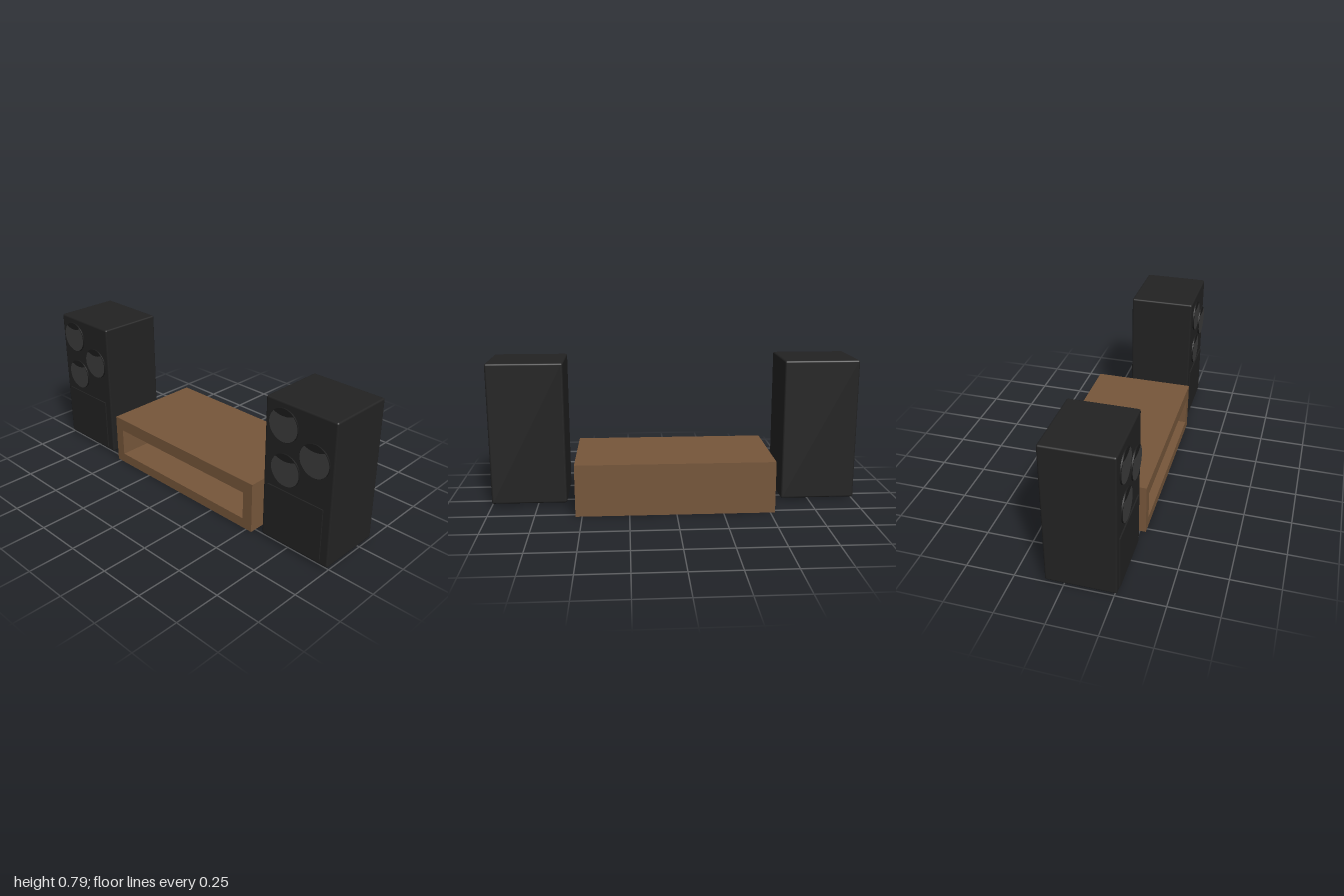
import * as THREE from 'three';
import { RoundedBoxGeometry } from 'three/addons/geometries/RoundedBoxGeometry.js';

const mat = (name, color) => {
  const m = new THREE.MeshStandardMaterial({ color });
  m.name = name;
  return m;
};

function rect(Type, x0, y0, x1, y1) {
  const s = new Type();
  s.moveTo(x0, y0);
  s.lineTo(x1, y0);
  s.lineTo(x1, y1);
  s.lineTo(x0, y1);
  s.closePath();
  return s;
}

export function createModel() {
  const wood = mat('brown wood', 0x76563a);
  const black = mat('cabinet black', 0x222222);
  const rubber = mat('surround black', 0x1c1c1c);
  const grey = mat('cone grey', 0x3c3c3c);
  const model = new THREE.Group();

  const add = (parent, name, geometry, material, x, y, z) => {
    const mesh = new THREE.Mesh(geometry, material);
    mesh.name = name;
    mesh.position.set(x, y, z);
    parent.add(mesh);
    return mesh;
  };

  // Low media bench: front frame around an open niche, solid rear
  const bench = new THREE.Group();
  bench.name = 'mediaBench';
  const left = -0.525, right = 0.535, height = 0.28, half = 0.282, niche = 0.215;
  const frame = rect(THREE.Shape, left, 0, right, height);
  frame.holes.push(rect(THREE.Path, -0.47, 0.055, 0.475, 0.21));
  add(bench, 'nicheFrame', new THREE.ExtrudeGeometry(frame, { depth: niche, bevelEnabled: false }),
    wood, 0, 0, half - niche);
  const rear = 2 * half - niche;
  add(bench, 'benchRear', new THREE.BoxGeometry(right - left, height, rear),
    wood, (left + right) / 2, height / 2, -half + rear / 2);
  model.add(bench);

  // Driver outlines: a dark disc and a grey cone face set slightly low, leaving a dark crescent
  const radius = 0.086;
  const disc = new THREE.CylinderGeometry(radius, radius, 0.007, 40).rotateX(Math.PI / 2);
  const cone = new THREE.Shape();
  cone.absarc(0, 0, radius - 0.002, Math.PI * 0.77, Math.PI * 2.27, false);
  cone.quadraticCurveTo(0.0, 0.035, -0.062, 0.06);
  const coneFace = new THREE.ShapeGeometry(cone, 32);
  const drivers = [[-0.088, 0.672], [0.098, 0.558], [-0.067, 0.442]];

  // Matching pair of speakers
  for (const [name, x] of [['rightSpeaker', -0.797], ['leftSpeaker', 0.795]]) {
    const speaker = new THREE.Group();
    speaker.name = name;
    speaker.position.x = x;
    add(speaker, 'speakerCabinet', new RoundedBoxGeometry(0.408, 0.772, 0.358, 3, 0.01),
      black, 0, 0.399, 0.085);
    add(speaker, 'lowerPanel', new THREE.BoxGeometry(0.335, 0.29, 0.007),
      black, -0.007, 0.18, 0.2685);
    for (const [dx, y] of drivers) {
      add(speaker, 'driverSurround', disc, rubber, dx, y, 0.2715);
      add(speaker, 'driverCone', coneFace, grey, dx, y, 0.2762);
    }
    model.add(speaker);
  }
  return model;
}
